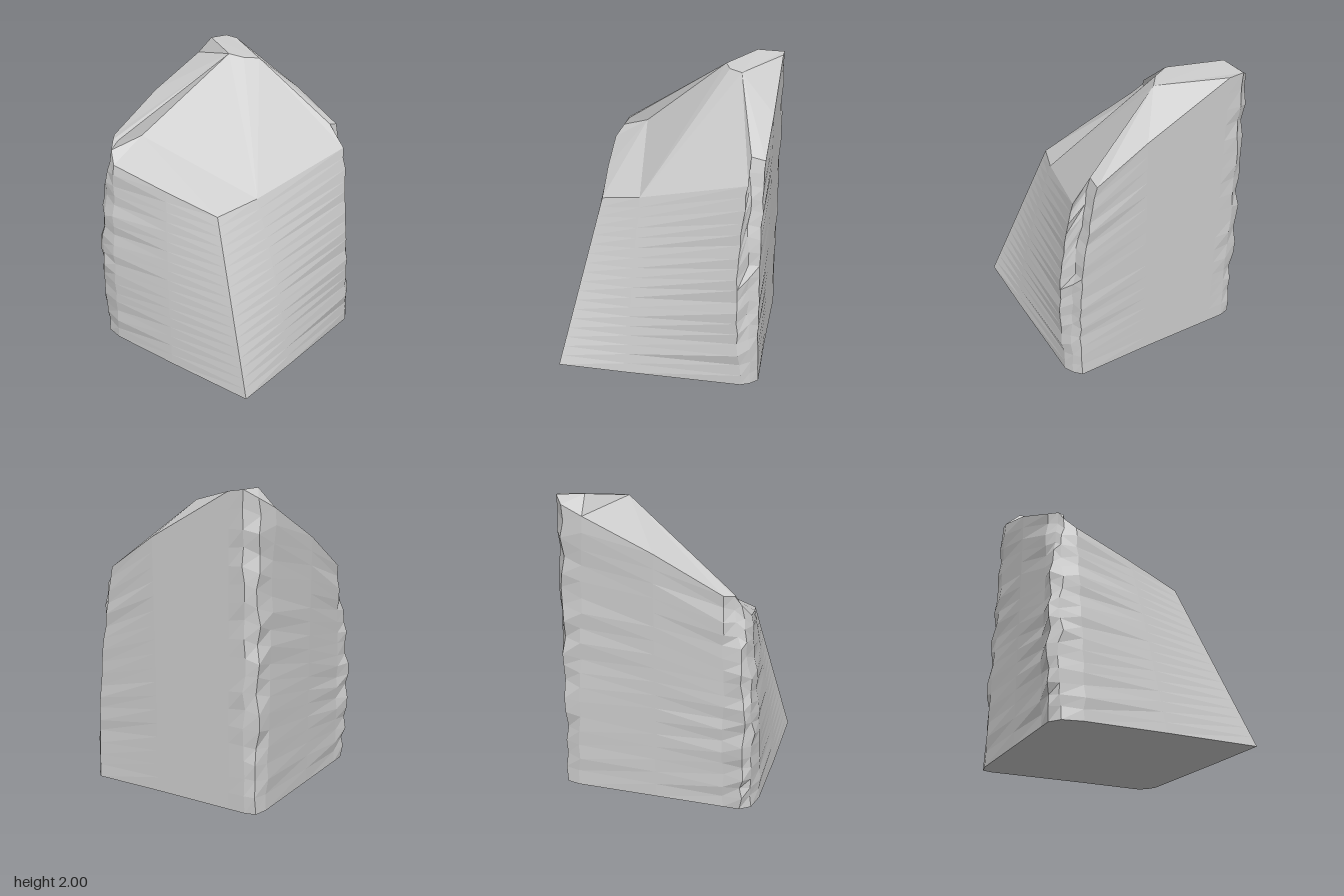
import * as THREE from 'three';

// Wall columns, counter-clockwise from above:
// [base x, base z, rim x, rim y, rim z, bulge x, bulge z, roughness]
const COLUMNS = [
  [0.69, 0.68, 0.28, 1.09, 0.46, 0, 0, 0], // 0 sharp front corner
  [0.69, 0.2, 0.38, 1.15, 0.17, 0.03, 0, 0], // 1 right face
  [0.68, -0.57, 0.58, 1.35, -0.57, 0.04, 0.04, 0.008], // 2 chamfered back corner
  [0.65, -0.63, 0.46, 1.5, -0.57, 0.05, 0.01, 0.012], // 3
  [0.6, -0.68, 0.46, 1.48, -0.66, 0.05, 0.01, 0.006], // 4
  [0.1, -0.67, 0.12, 1.69, -0.67, 0, 0, 0], // 5 back face
  [-0.45, -0.67, -0.45, 1.98, -0.67, 0, 0, 0], // 6
  [-0.57, -0.67, -0.55, 1.99, -0.67, 0, 0, 0.01], // 7 worn back corner
  [-0.64, -0.65, -0.62, 1.94, -0.61, -0.01, 0, 0.016], // 8
  [-0.66, -0.56, -0.65, 1.88, -0.46, 0, 0, 0.008], // 9
  [-0.66, 0, -0.67, 1.68, 0, 0, 0, 0], // 10 left face
  [-0.66, 0.46, -0.66, 1.45, 0.44, -0.01, 0, 0.008], // 11
  [-0.66, 0.57, -0.61, 1.44, 0.5, -0.05, 0.05, 0.014], // 12 worn front corner
  [-0.61, 0.64, -0.59, 1.38, 0.54, -0.03, 0.04, 0.014], // 13
  [-0.48, 0.67, -0.52, 1.3, 0.59, 0, 0.02, 0.008], // 14
  [0.05, 0.68, -0.1, 1.19, 0.53, 0, 0.01, 0], // 15 front face
];
const LEVELS = 18;

// Corners of the broken top that lie inside the rim
const CREST = {
  D: [-0.23, 1.95, -0.3],
  E: [-0.13, 1.93, -0.34],
  F: [-0.06, 1.92, -0.43],
  K: [-0.54, 2.0, -0.48],
  C: [-0.57, 1.44, 0.49],
  N: [-0.5, 1.45, 0.33],
};

// Facets of the top as fans; numbers refer to rim points
const FACETS = [
  ['F', 3, 4, 5, 6, 7, 'K', 'D', 'E'], // summit
  ['K', 7, 8, 9], // worn peak
  ['D', 'K', 9, 10, 11, 12, 'C'], // left slope
  ['D', 'C', 'N'], // narrow ledge
  ['D', 'N', 1, 'E'], // main slope
  ['E', 1, 'F'],
  ['F', 1, 2, 3], // right slope
  ['N', 'C', 13, 14, 15, 0, 1], // lower front slope
  ['C', 12, 13],
];

function seeded(seed) {
  return () => {
    seed = (seed * 16807) % 2147483647;
    return (seed / 2147483647) * 2 - 1;
  };
}

export function createModel() {
  const rand = seeded(77);
  const positions = [];
  const triangle = (a, b, c) => positions.push(...a, ...b, ...c);
  const fan = (pts) => {
    for (let i = 1; i < pts.length - 1; i++) triangle(pts[0], pts[i], pts[i + 1]);
  };

  // Points up each column, roughened between base and rim
  const columns = COLUMNS.map(([bx, bz, rx, ry, rz, ox, oz, rough]) => {
    const points = [];
    for (let k = 0; k <= LEVELS; k++) {
      const t = k / LEVELS;
      const swell = Math.sin(Math.PI * t);
      const r = k > 0 && k < LEVELS ? rough : 0;
      points.push([
        bx + (rx - bx) * t + ox * swell + rand() * r,
        ry * t + rand() * r,
        bz + (rz - bz) * t + oz * swell + rand() * r,
      ]);
    }
    return points;
  });

  // Side walls
  columns.forEach((a, i) => {
    const b = columns[(i + 1) % columns.length];
    for (let k = 0; k < LEVELS; k++) {
      triangle(a[k], b[k], b[k + 1]);
      triangle(a[k], b[k + 1], a[k + 1]);
    }
  });

  // Broken top and flat underside
  const corner = (id) => (typeof id === 'number' ? columns[id][LEVELS] : CREST[id]);
  FACETS.forEach((facet) => fan(facet.map(corner)));
  fan(columns.map((c) => c[0]).reverse());

  const geometry = new THREE.BufferGeometry();
  geometry.setAttribute('position', new THREE.Float32BufferAttribute(positions, 3));
  geometry.computeVertexNormals();

  const rock = new THREE.Mesh(
    geometry,
    new THREE.MeshStandardMaterial({ color: 0xcccccc, flatShading: true })
  );
  rock.name = 'rock';
  const group = new THREE.Group();
  group.name = 'boulder';
  group.add(rock);
  return group;
}
